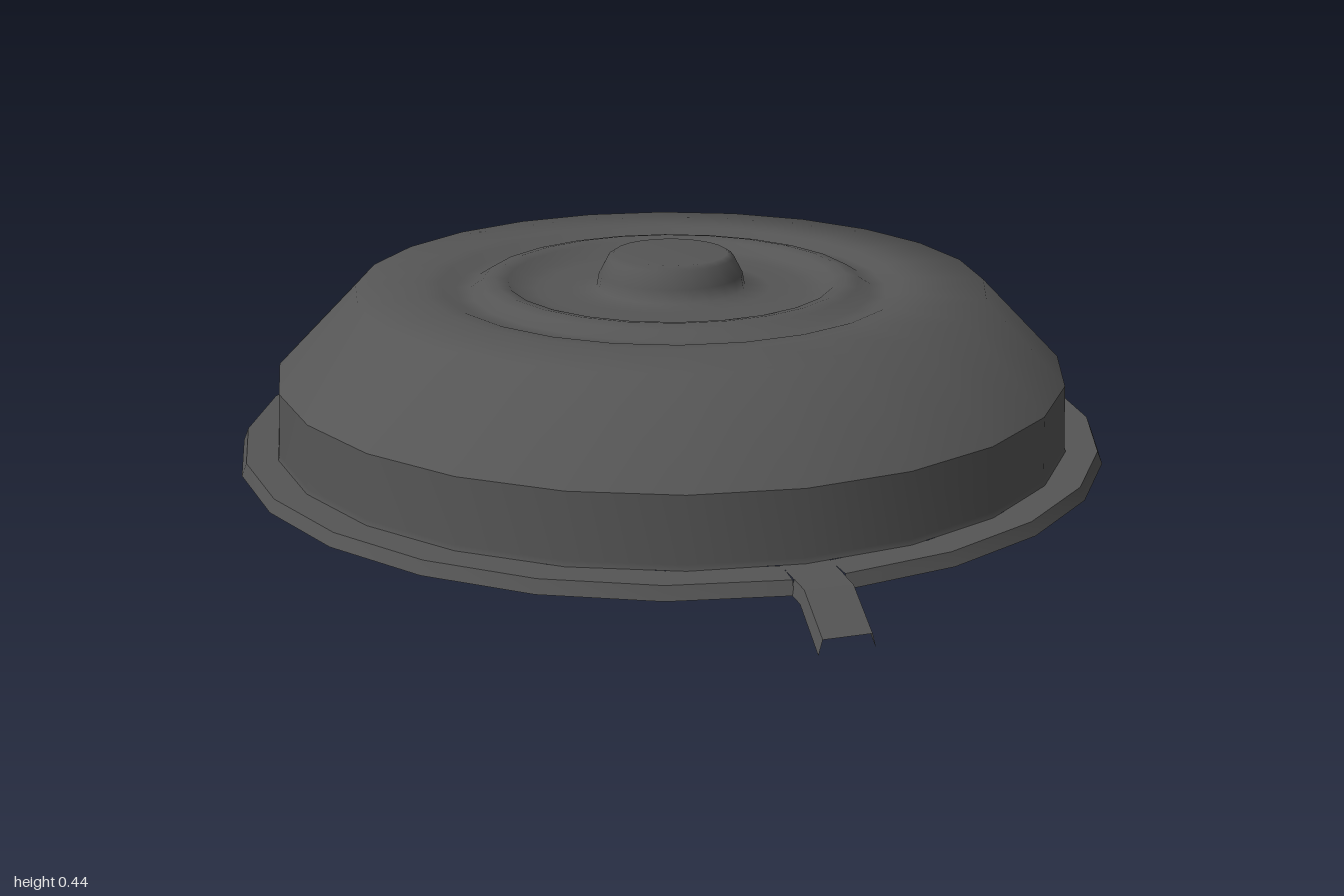
import * as THREE from 'three';
import { toCreasedNormals } from 'three/addons/utils/BufferGeometryUtils.js';

const SIDES = 24;
const GAP = 0.055; // half angle of the opening where each tab meets the rim

const material = new THREE.MeshStandardMaterial({ color: 0x555555, side: THREE.DoubleSide });
const points = (list) => list.map(([r, y]) => new THREE.Vector2(r, y));

function addMesh(parent, name, geometry) {
  const mesh = new THREE.Mesh(geometry, material);
  mesh.name = name;
  parent.add(mesh);
  return mesh;
}

// Inverted channel: one cross-section per station along z, bent down at the end
function tabGeometry() {
  const stations = [[0.79, 0.08, 0.0], [0.862, 0.08, 0.0], [0.863, 0.08, 0.025], [0.91, 0.08, 0.025], [1.0, 0.028, 0.028]];
  const positions = [], index = [];
  for (const [z, y, drop] of stations) {
    const flare = drop > 0 ? 0.006 : 0;
    positions.push(-0.045 - flare, y - drop, z, -0.044, y, z, 0.044, y, z, 0.045 + flare, y - drop, z);
  }
  for (let s = 0; s < stations.length - 1; s++) {
    for (let k = 0; k < 3; k++) {
      const a = s * 4 + k, b = a + 1, c = a + 4, d = a + 5;
      index.push(a, c, b, b, c, d);
    }
  }
  const geometry = new THREE.BufferGeometry();
  geometry.setAttribute('position', new THREE.Float32BufferAttribute(positions, 3));
  geometry.setIndex(index);
  return toCreasedNormals(geometry, 0.4);
}

export function createModel() {
  const model = new THREE.Group();
  model.name = 'lid';

  // Upright side wall
  addMesh(model, 'sideWall', new THREE.LatheGeometry(
    points([[0.803, 0.08], [0.8, 0.09], [0.795, 0.215]]), SIDES));

  // Sloping shoulder, rippled top and hollow knob, one smooth skin
  addMesh(model, 'domeAndKnob', new THREE.LatheGeometry(points([
    [0.795, 0.215], [0.635, 0.38], [0.5, 0.385], [0.465, 0.383], [0.435, 0.372], [0.405, 0.372],
    [0.38, 0.388], [0.355, 0.393], [0.33, 0.388], [0.31, 0.372], [0.27, 0.368], [0.2, 0.37],
    [0.15, 0.374], [0.145, 0.4], [0.127, 0.434], [0.115, 0.442], [0, 0.442],
  ]), SIDES));

  // Flat rim with a short skirt, in two halves that leave room for the tabs
  const rim = points([[0.875, 0.055], [0.865, 0.08], [0.8, 0.08]]);
  for (const [name, start] of [['leftRim', GAP], ['rightRim', Math.PI + GAP]]) {
    const half = new THREE.LatheGeometry(rim, SIDES / 2, start, Math.PI - 2 * GAP);
    addMesh(model, name, toCreasedNormals(half, 0.5));
  }

  // Bent tabs at front and back
  const tab = tabGeometry();
  addMesh(model, 'frontTab', tab);
  addMesh(model, 'backTab', tab).rotation.y = Math.PI;

  return model;
}
